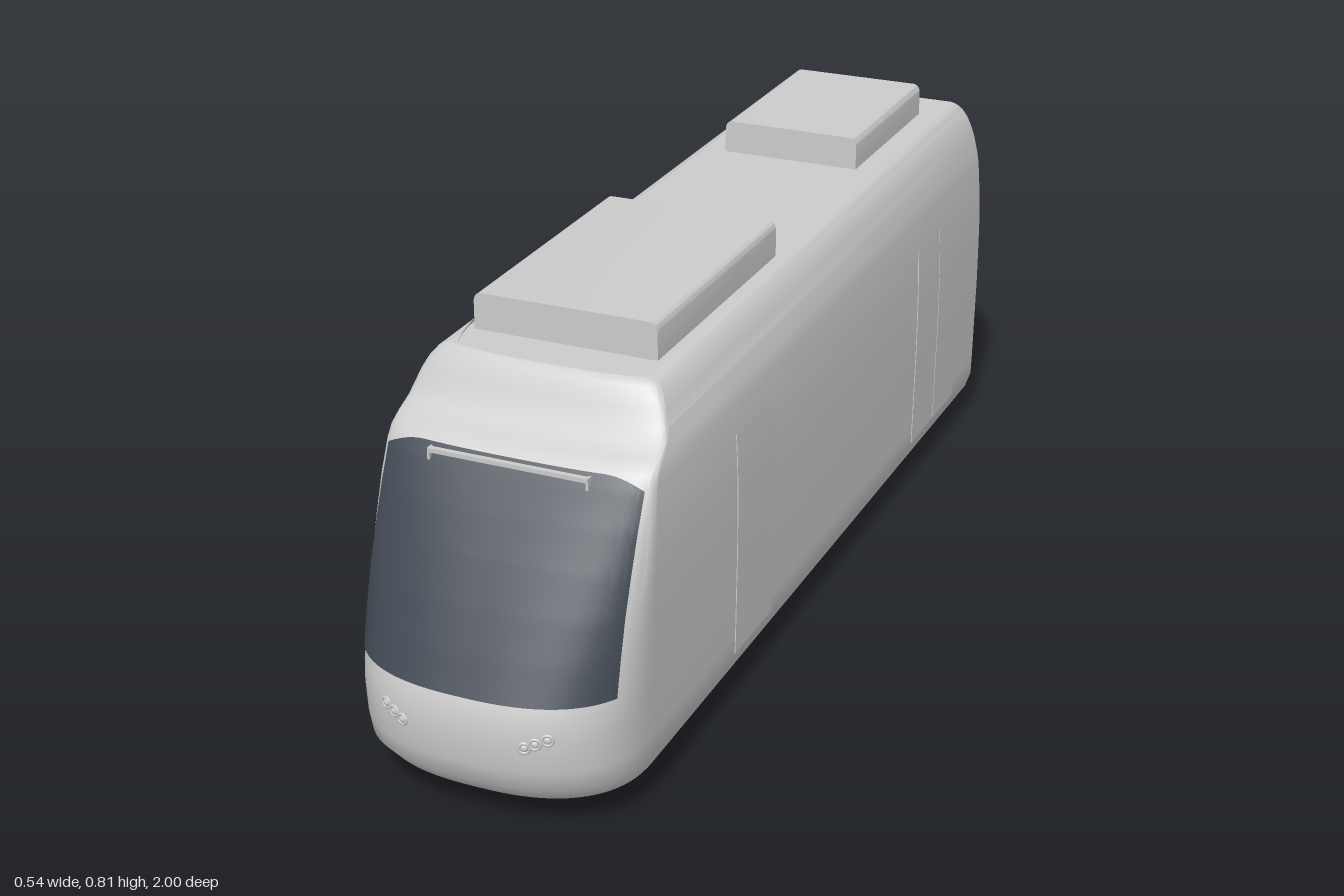
import * as THREE from 'three';
import { toCreasedNormals } from 'three/addons/utils/BufferGeometryUtils.js';

// Body shell by height: [y, half width, nose z, depth of the rounded front corner]
const RINGS = [
  [0.065, 0.25, 0.955, 0.2], [0.1, 0.262, 0.985, 0.205], [0.14, 0.263, 0.996, 0.21],
  [0.2, 0.264, 1.0, 0.21], [0.235, 0.2645, 0.996, 0.208], [0.265, 0.265, 0.986, 0.205],
  [0.33, 0.266, 0.954, 0.175], [0.4, 0.266, 0.917, 0.14], [0.47, 0.2655, 0.877, 0.11],
  [0.54, 0.263, 0.833, 0.075], [0.6, 0.258, 0.792, 0.045], [0.62, 0.256, 0.776, 0.04],
  [0.638, 0.253, 0.748, 0.035], [0.655, 0.249, 0.716, 0.03], [0.675, 0.244, 0.7, 0.03],
  [0.7, 0.235, 0.689, 0.03], [0.72, 0.225, 0.677, 0.03], [0.735, 0.213, 0.668, 0.03],
  [0.742, 0.203, 0.662, 0.03], [0.745, 0.192, 0.656, 0.03],
];
const POWER = 2.5;

function ringAt(y) {
  let i = 1;
  while (i < RINGS.length - 1 && RINGS[i][0] < y) i++;
  const a = RINGS[i - 1], b = RINGS[i];
  const t = THREE.MathUtils.clamp((y - a[0]) / (b[0] - a[0]), 0, 1);
  return a.map((v, k) => v + (b[k] - v) * t);
}

// z of the nose surface at a given x and y
function noseZ(x, y) {
  const [, w, z, d] = ringAt(y);
  const u = Math.min(1, Math.abs(x) / w);
  return z - d + d * Math.pow(1 - Math.pow(u, POWER), 1 / POWER);
}

// Surface from fn(column, row); flip turns the faces over
function grid(cols, rows, fn, flip = false) {
  const pos = [], index = [];
  for (let j = 0; j <= rows; j++) for (let i = 0; i <= cols; i++) pos.push(...fn(i, j));
  for (let j = 0; j < rows; j++) {
    for (let i = 0; i < cols; i++) {
      const a = j * (cols + 1) + i, b = a + 1, c = a + cols + 1, d = c + 1;
      if (flip) index.push(a, c, b, b, c, d);
      else index.push(a, b, c, b, d, c);
    }
  }
  const g = new THREE.BufferGeometry();
  g.setAttribute('position', new THREE.Float32BufferAttribute(pos, 3));
  g.setIndex(index);
  return toCreasedNormals(g, 0.55);
}

// Plan outline of the body at one height
function outline([y, w, z, d]) {
  const pts = [], n = 40, e = 2 / POWER;
  for (let k = 0; k <= n; k++) {
    const c = Math.cos(k / n * Math.PI), s = Math.max(0, Math.sin(k / n * Math.PI));
    pts.push([w * Math.sign(c) * Math.pow(Math.abs(c), e), y, z - d + d * Math.pow(s, e)]);
  }
  pts.push([-w, y, -0.992], [-w + 0.008, y, -1], [w - 0.008, y, -1], [w, y, -0.992], pts[0]);
  return pts;
}

export function createModel() {
  const model = new THREE.Group();
  const mat = (name, color) => {
    const m = new THREE.MeshStandardMaterial({ color });
    m.name = name;
    return m;
  };
  const paint = mat('light grey', 0xcccccc);
  const glass = mat('dark glass', 0x434a54);
  const add = (name, geometry, material = paint, parent = model) => {
    const m = new THREE.Mesh(geometry, material);
    m.name = name;
    parent.add(m);
    return m;
  };

  // Body shell with roof and floor
  const rings = RINGS.map(outline), last = rings.length - 1, cols = rings[0].length - 1;
  add('body', grid(cols, last, (i, j) => rings[j][i], true));
  add('floor', grid(cols, 1, (i, j) => (j ? rings[0][i] : [0, RINGS[0][0], 0]), true));
  add('roof', grid(cols, 1, (i, j) => (j ? [0, RINGS[last][0], 0] : rings[last][i]), true));

  // Windscreen follows the nose, with its upper corners drooping
  add('windscreen', grid(48, 40, (i, j) => {
    const x = 0.245 * Math.sin((i / 24 - 1) * Math.PI / 2);
    const k = Math.max(0, (Math.abs(x) - 0.17) / 0.075);
    const y = THREE.MathUtils.lerp(0.265, 0.62 - 0.02 * k * k, j / 40);
    return [x, y, noseZ(x, y) + 0.006];
  }), glass);

  // Rail across the top of the windscreen
  const rail = new THREE.Group();
  rail.name = 'windscreenRail';
  model.add(rail);
  add('railBar', new THREE.BoxGeometry(0.306, 0.008, 0.01), paint, rail).position.set(0, 0.613, 0.795);
  for (const s of [-1, 1]) {
    add('railEnd', new THREE.BoxGeometry(0.004, 0.022, 0.014), paint, rail)
      .position.set(s * 0.151, 0.606, 0.793);
  }

  // Headlights: three ringed lamps on each side
  for (const s of [-1, 1]) {
    for (const [x, y] of [[0.155, 0.208], [0.135, 0.2], [0.117, 0.191]]) {
      const lamp = new THREE.Group();
      lamp.name = 'headlight';
      lamp.position.set(s * x, y, noseZ(x, y));
      lamp.rotation.y = s * 0.3;
      model.add(lamp);
      add('lampRim', new THREE.TorusGeometry(0.0095, 0.003, 8, 20), paint, lamp);
      add('lampLens', new THREE.SphereGeometry(0.007, 14, 8), paint, lamp).scale.z = 0.6;
    }
  }

  // Door leaves, standing very slightly proud of the sides
  for (const s of [-1, 1]) {
    for (const [z0, z1] of [[0.24, 0.42], [-0.85, -0.711], [-0.709, -0.57]]) {
      add('door', grid(3, 12, (i, j) => {
        const y = THREE.MathUtils.lerp(0.105, 0.555, j / 12);
        const edge = i === 0 || i === 3 ? 0 : 0.0015;
        const z = [z0, z0 + 0.0005, z1 - 0.0005, z1][i];
        return [s * (ringAt(y)[1] + edge), y, z];
      }, s > 0));
    }
  }

  // Roof units with rounded upper edges
  const roofUnit = (name, hw, top, z0, z1) => {
    const y0 = 0.74, r = 0.016, shape = new THREE.Shape();
    shape.moveTo(-hw, y0);
    shape.lineTo(hw, y0);
    shape.lineTo(hw, top - r);
    shape.quadraticCurveTo(hw - 0.002, top, hw - r, top);
    shape.lineTo(-hw + r, top);
    shape.quadraticCurveTo(-hw + 0.002, top, -hw, top - r);
    const g = new THREE.ExtrudeGeometry(shape, { depth: z1 - z0, bevelEnabled: false, curveSegments: 6 });
    add(name, toCreasedNormals(g, 0.6)).position.z = z0;
  };
  roofUnit('frontRoofUnit', 0.178, 0.815, 0.03, 0.57);
  roofUnit('rearRoofUnit', 0.146, 0.812, -0.89, -0.49);

  // Fairing swelling out of the roof around the front unit: [z, half width, height]
  const swell = [
    [0.34, 0.185, 0], [0.36, 0.196, 0.012], [0.4, 0.2, 0.027], [0.45, 0.2, 0.033],
    [0.56, 0.194, 0.033], [0.6, 0.187, 0.027], [0.635, 0.178, 0.015], [0.66, 0.168, 0],
  ];
  add('roofFairing', grid(24, swell.length - 1, (i, j) => {
    const [z, hw, h] = swell[j], a = i / 24 * Math.PI, c = Math.cos(a);
    return [hw * Math.sign(c) * Math.pow(Math.abs(c), 0.7), 0.744 + h * Math.pow(Math.max(0, Math.sin(a)), 0.9), z];
  }, true));

  // Flanged wheels and axles, lathed about the axle line
  const wheelProfile = [[0, -0.014], [0.06, -0.014], [0.07, -0.012], [0.07, -0.006],
    [0.063, -0.002], [0.06, 0.014], [0.05, 0.016], [0.046, 0.01], [0, 0.01]]
    .map(([r, h]) => new THREE.Vector2(r, h));
  const wheelGeo = toCreasedNormals(new THREE.LatheGeometry(wheelProfile, 40), 0.6);
  for (const z of [0.01, -0.39]) {
    for (const s of [-1, 1]) {
      const wheel = add('wheel', wheelGeo);
      wheel.position.set(s * 0.166, 0.07, z);
      wheel.rotation.z = -s * Math.PI / 2;
    }
    const axle = add('axle', new THREE.CylinderGeometry(0.012, 0.012, 0.31, 16));
    axle.position.set(0, 0.07, z);
    axle.rotation.z = Math.PI / 2;
  }
  return model;
}
